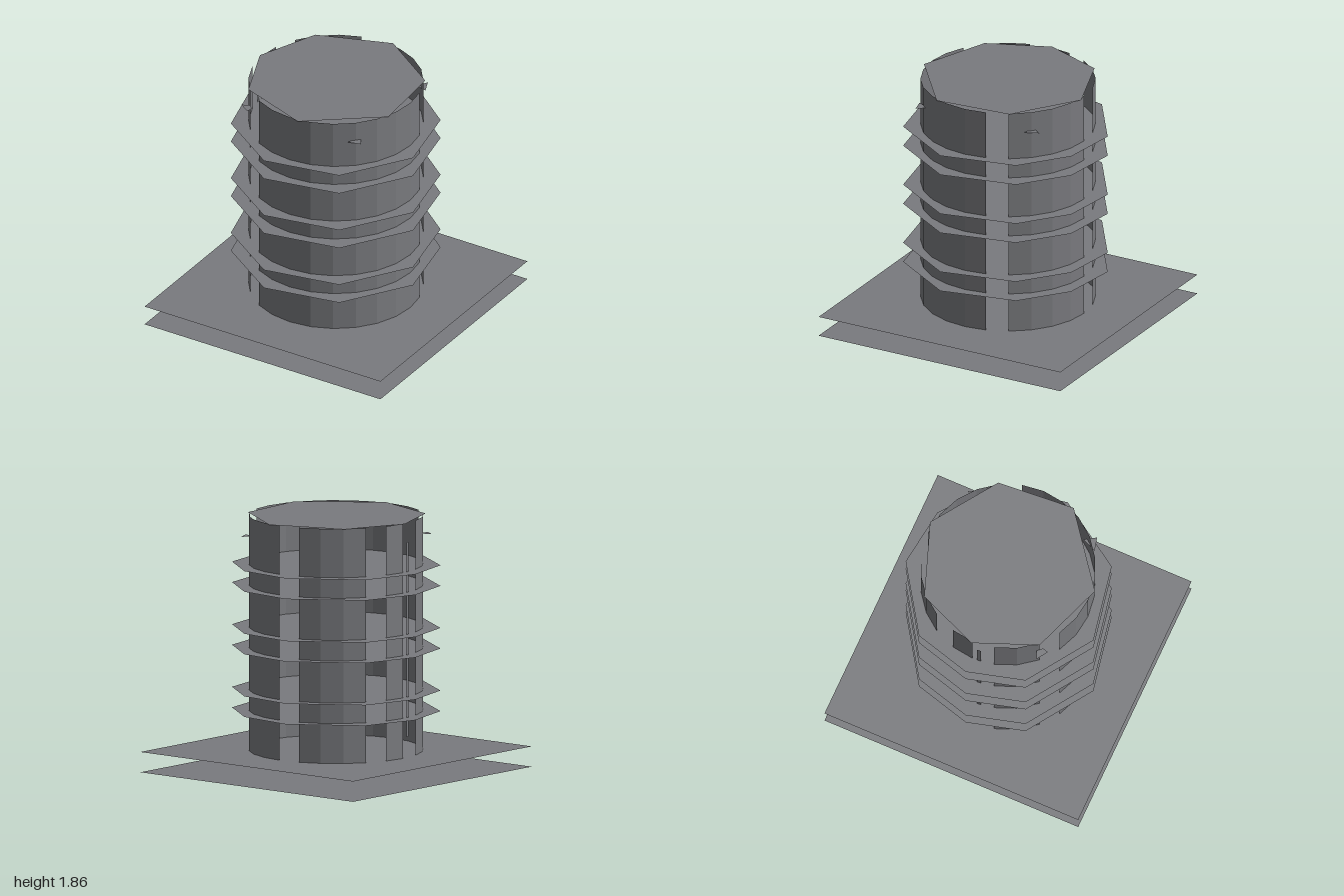
import * as THREE from 'three';

const material = new THREE.MeshStandardMaterial({ color: 0x797a7e, flatShading: true, side: THREE.DoubleSide });

// Horizontal sheet from [x, z] corners at height y
function sheet(name, corners, y) {
  const shape = new THREE.Shape(corners.map(([x, z]) => new THREE.Vector2(x, -z)));
  const geometry = new THREE.ShapeGeometry(shape);
  geometry.rotateX(-Math.PI / 2);
  geometry.translate(0, y, 0);
  const mesh = new THREE.Mesh(geometry, material);
  mesh.name = name;
  return mesh;
}

// Upright curved panel between two angles, measured from +z towards +x
function panel(name, from, to, bottom, top) {
  const rad = THREE.MathUtils.degToRad;
  const steps = Math.max(1, Math.round((to - from) / 15));
  const geometry = new THREE.CylinderGeometry(0.63, 0.63, top - bottom, steps, 1, true, rad(from), rad(to - from));
  geometry.translate(0, (top + bottom) / 2, 0);
  const mesh = new THREE.Mesh(geometry, material);
  mesh.name = name;
  return mesh;
}

export function createModel() {
  const model = new THREE.Group();
  model.name = 'slottedTower';
  const baseY = 0.148, topY = 1.86;

  // Square base: lower and upper sheets
  const square = [[-1, -1], [-1, 1], [1, 1], [1, -1]];
  model.add(sheet('baseBottom', square, 0), sheet('baseTop', square, baseY));

  // Wall panels with upright slots between them
  for (const [from, to] of [[-30, 105], [120, 180], [195, 240], [255, 270], [285, 315]]) {
    model.add(panel('wallPanel', from, to, baseY, topY));
  }
  // Narrow bar standing in the left slot
  model.add(panel('slotBar', 273.5, 276, 0.3, 1.72));

  // Three flanges, each an upper and a lower sheet
  const flange = [
    [-0.15, -0.74], [-0.63, -0.42], [-0.745, 0], [-0.63, 0.42], [-0.15, 0.74],
    [0.42, 0.63], [0.74, 0.14], [0.625, -0.42], [0.285, -0.685],
  ];
  for (let i = 0; i < 3; i++) {
    const y = 0.44 + i * 0.457;
    model.add(sheet('flangeBottom', flange, y), sheet('flangeTop', flange, y + 0.15));
  }

  // Cap
  const cap = [
    [0.08, -0.65], [-0.46, -0.455], [-0.645, 0], [-0.46, 0.455],
    [0.08, 0.65], [0.6, 0.25], [0.555, -0.325],
  ];
  model.add(sheet('cap', cap, topY));

  // Small tabs poking through the wall under the cap
  const tabs = [
    [[0.455, -0.52], [0.4, -0.44], [0.5, -0.415]],
    [[0.455, 0.39], [0.41, 0.5], [0.51, 0.475]],
    [[-0.52, 0.455], [-0.435, 0.51], [-0.425, 0.465], [-0.46, 0.43]],
  ];
  for (const corners of tabs) model.add(sheet('tab', corners, 1.715));

  return model;
}
